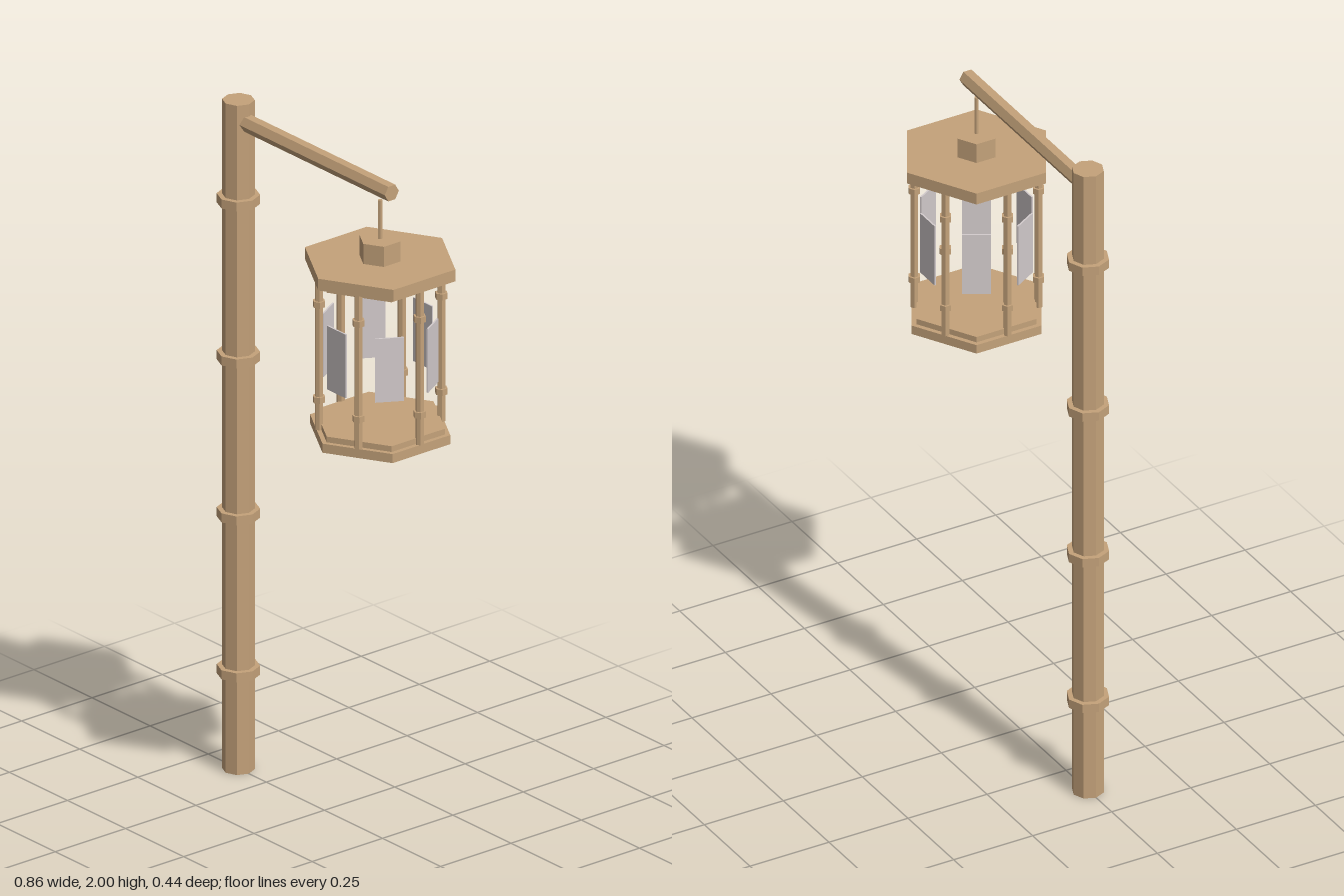
import * as THREE from 'three';

const wood = new THREE.MeshStandardMaterial({ color: 0xc4a27a });
wood.name = 'wood';
wood.flatShading = true;
const paper = new THREE.MeshStandardMaterial({ color: 0xd4cccd });
paper.name = 'paper';

// Faceted upright rod or plate spanning y0..y1, with a corner towards +z
function prism(name, radius, y0, y1, sides, x = 0, z = 0) {
  const mesh = new THREE.Mesh(new THREE.CylinderGeometry(radius, radius, y1 - y0, sides), wood);
  mesh.name = name;
  mesh.position.set(x, (y0 + y1) / 2, z);
  return mesh;
}

function createPole() {
  const pole = new THREE.Group();
  pole.name = 'pole';
  pole.position.x = -0.37;
  pole.add(prism('poleShaft', 0.045, 0, 2, 8));

  // Bamboo joints
  for (let i = 0; i < 4; i++) {
    const y = 0.297 + i * 0.469;
    pole.add(prism('poleJoint', 0.06, y - 0.0135, y + 0.0135, 8));
  }

  // Horizontal arm, starting inside the shaft
  const arm = new THREE.Mesh(new THREE.CylinderGeometry(0.025, 0.025, 0.66, 6), wood);
  arm.name = 'arm';
  arm.rotation.z = -Math.PI / 2;
  arm.position.set(0.33, 1.942, 0);
  pole.add(arm);
  return pole;
}

function createLantern() {
  const lantern = new THREE.Group();
  lantern.name = 'lantern';
  lantern.position.x = 0.24;

  // Hanger, cap, roof and floor
  lantern.add(
    prism('hanger', 0.007, 1.78, 1.905, 6),
    prism('cap', 0.06, 1.73, 1.79, 6),
    prism('roof', 0.22, 1.695, 1.73, 6),
    prism('roofRim', 0.19, 1.68, 1.695, 6),
    prism('floorRim', 0.19, 1.233, 1.25, 6),
    prism('floor', 0.205, 1.206, 1.233, 6),
  );

  for (let i = 0; i < 6; i++) {
    // Jointed post at the middle of each roof side
    const a = (i * Math.PI) / 3;
    const x = 0.17 * Math.cos(a), z = 0.17 * Math.sin(a);
    lantern.add(prism('post', 0.012, 1.233, 1.695, 6, x, z));
    for (const y of [1.323, 1.608])
      lantern.add(prism('postJoint', 0.018, y - 0.009, y + 0.009, 6, x, z));

    // Paper panel between the posts
    const panel = new THREE.Mesh(new THREE.BoxGeometry(0.08, 0.19, 0.005), paper);
    panel.name = 'panel';
    panel.position.set(0.153 * Math.sin(a), 1.463, 0.153 * Math.cos(a));
    panel.rotation.y = a;
    lantern.add(panel);
  }
  return lantern;
}

export function createModel() {
  const model = new THREE.Group();
  model.name = 'lanternPost';
  model.add(createPole(), createLantern());
  return model;
}
